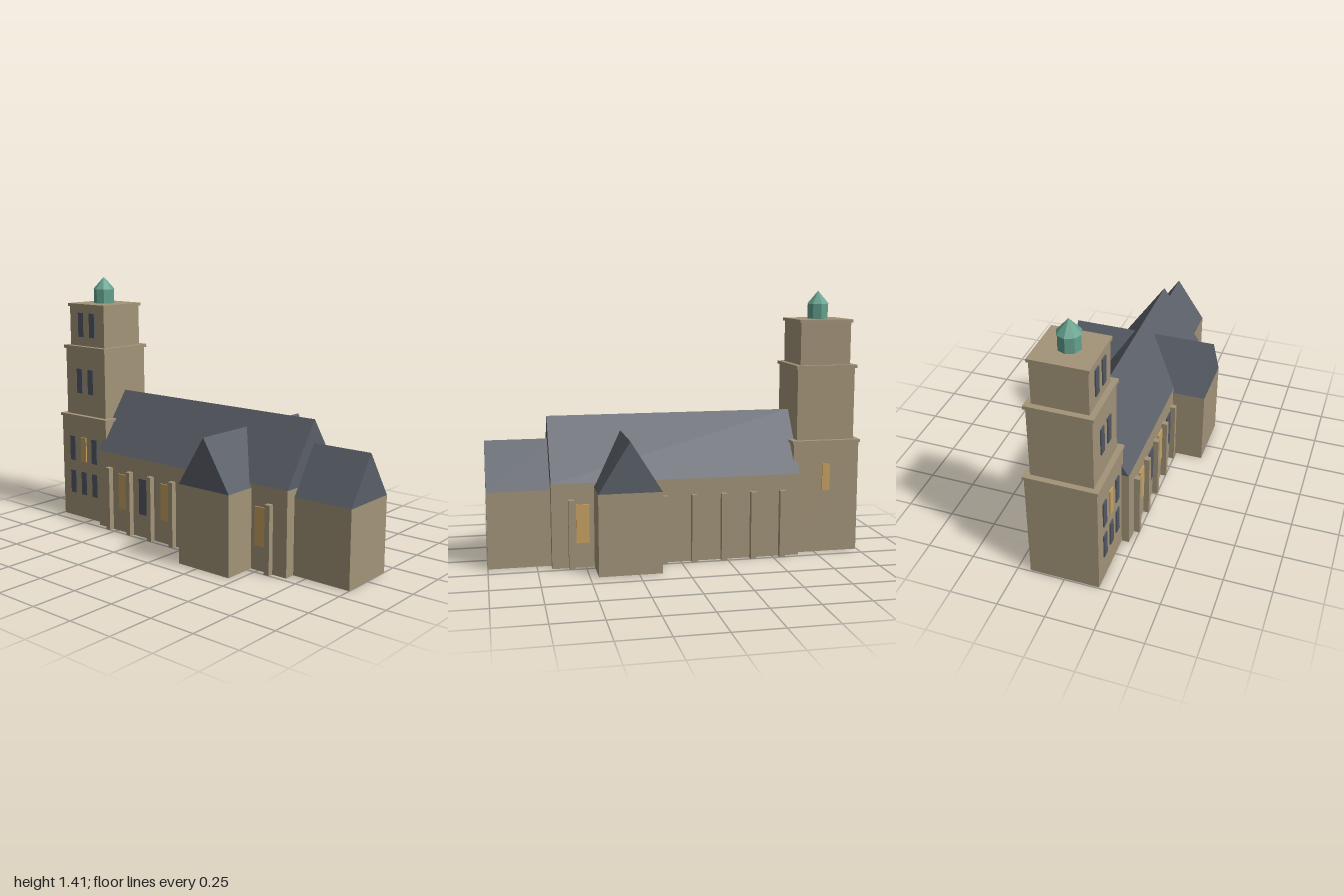
import * as THREE from 'three';

const paint = (name, color) => {
  const m = new THREE.MeshStandardMaterial({ color });
  m.name = name;
  return m;
};

export function createModel() {
  const stone = paint('stone', 0xa39479);
  const slate = paint('slate', 0x5a5f68);
  const darkGlass = paint('dark glass', 0x535863);
  const litGlass = paint('lit glass', 0xc8a262);
  const copper = paint('copper', 0x64a18e);

  const model = new THREE.Group();
  model.name = 'church';

  const add = (parent, name, geometry, material, x = 0, y = 0, z = 0) => {
    const mesh = new THREE.Mesh(geometry, material);
    mesh.name = name;
    mesh.position.set(x, y, z);
    parent.add(mesh);
    return mesh;
  };
  const group = (name) => {
    const g = new THREE.Group();
    g.name = name;
    model.add(g);
    return g;
  };
  // Box given by its limits on each axis
  const block = (parent, name, material, x0, x1, y0, y1, z0, z1) =>
    add(parent, name, new THREE.BoxGeometry(x1 - x0, y1 - y0, z1 - z0), material,
      (x0 + x1) / 2, (y0 + y1) / 2, (z0 + z1) / 2);
  // Gable roof with its ridge along z, centred on the origin
  const gable = (half, rise, length) => {
    const s = new THREE.Shape([
      new THREE.Vector2(-half, 0), new THREE.Vector2(half, 0), new THREE.Vector2(0, rise),
    ]);
    return new THREE.ExtrudeGeometry(s, { depth: length, bevelEnabled: false })
      .translate(0, 0, -length / 2);
  };
  // Thin window plate on a wall facing +z (side 1) or -z (side -1)
  const pane = (parent, material, x, y0, y1, width, wall, side = 1) =>
    add(parent, 'window', new THREE.BoxGeometry(width, y1 - y0, 0.008), material,
      x, (y0 + y1) / 2, side * (wall + 0.003));

  // Nave
  const nave = group('nave');
  block(nave, 'naveWalls', stone, -0.65, 0.675, 0, 0.445, -0.222, 0.222);
  add(nave, 'naveRoof', gable(0.222, 0.32, 1.325).rotateY(Math.PI / 2), slate, 0.0125, 0.445, 0);

  // Chancel
  const chancel = group('chancel');
  block(chancel, 'chancelWalls', stone, 0.66, 1, 0, 0.403, -0.162, 0.162);
  add(chancel, 'chancelRoof', gable(0.162, 0.242, 0.34).rotateY(Math.PI / 2), slate, 0.83, 0.403, 0);

  // Transept
  const transept = group('transept');
  block(transept, 'transeptWalls', stone, 0.13, 0.456, 0, 0.423, -0.402, 0.402);
  add(transept, 'transeptRoof', gable(0.163, 0.262, 0.804), slate, 0.293, 0.423, 0);

  // Buttresses along both sides
  const buttresses = group('buttresses');
  for (const x of [-0.55, -0.39, -0.23, -0.07, 0.09, 0.575]) {
    for (const s of [-1, 1]) {
      add(buttresses, 'buttress', new THREE.BoxGeometry(0.03, 0.362, 0.04), stone, x, 0.181, s * 0.232);
    }
  }

  // Nave windows
  const naveWindows = group('naveWindows');
  const front = [[-0.45, litGlass], [-0.29, darkGlass], [-0.127, litGlass], [0.034, darkGlass], [0.515, litGlass]];
  for (const [x, m] of front) pane(naveWindows, m, x, 0.132, 0.335, 0.068, 0.222);
  pane(naveWindows, litGlass, 0.515, 0.132, 0.335, 0.068, 0.222, -1);

  // Tower: three stages, each capped by a cornice
  const tower = group('tower');
  const cx = -0.81;
  const stages = [
    // half width, bottom, top, cornice half width, cornice top
    [0.183, 0, 0.6, 0.19, 0.615],
    [0.16, 0.615, 1.0, 0.17, 1.018],
    [0.14, 1.018, 1.243, 0.148, 1.26],
  ];
  for (const [h, y0, y1, c, y2] of stages) {
    block(tower, 'towerStage', stone, cx - h, cx + h, y0, y1, -h, h);
    block(tower, 'cornice', stone, cx - c, cx + c, y1, y2, -c, c);
  }

  // Tower windows
  for (const dx of [-0.093, -0.002, 0.088]) {
    pane(tower, darkGlass, cx + dx, 0.143, 0.28, 0.043, 0.183);
    pane(tower, dx === -0.002 ? litGlass : darkGlass, cx + dx, 0.342, 0.487, 0.043, 0.183);
  }
  for (const dx of [-0.046, 0.045]) {
    pane(tower, darkGlass, cx + dx, 0.743, 0.887, 0.043, 0.16);
    pane(tower, darkGlass, cx + dx, 1.07, 1.209, 0.043, 0.14);
  }
  pane(tower, litGlass, cx, 0.342, 0.487, 0.043, 0.183, -1);

  // Eight-sided copper lantern
  const lantern = group('lantern');
  const faceted = (g) => {
    const flat = g.toNonIndexed();
    flat.computeVertexNormals();
    return flat;
  };
  add(lantern, 'lanternDrum', faceted(new THREE.CylinderGeometry(0.058, 0.058, 0.08, 8)), copper, cx, 1.3, 0);
  add(lantern, 'lanternRoof', faceted(new THREE.ConeGeometry(0.062, 0.07, 8)), copper, cx, 1.375, 0);

  return model;
}
